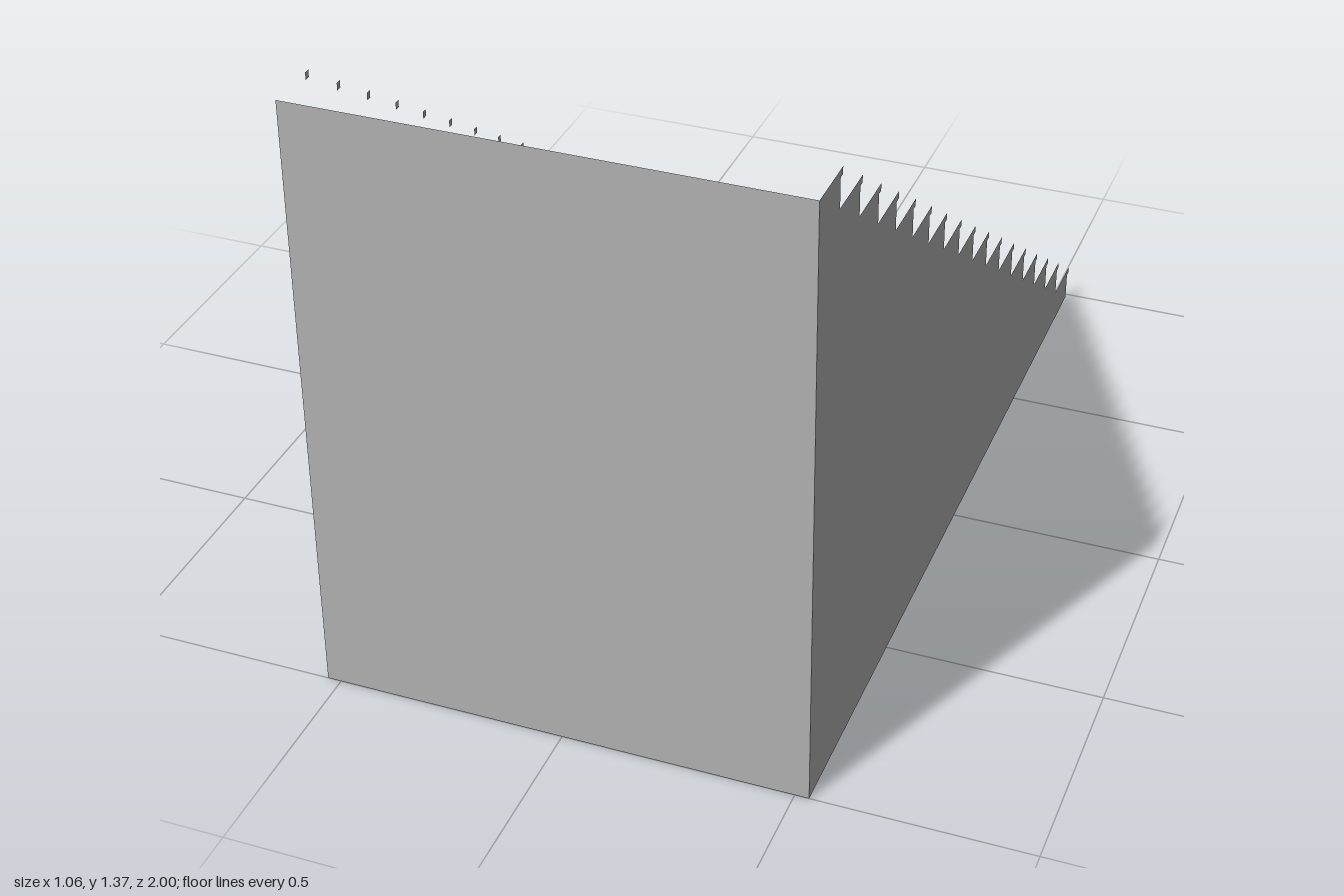
import * as THREE from 'three';

const STEPS = 17;
const HALF_WIDTH = 0.53;
const HEIGHT = 1.365;
const RISE = HEIGHT / STEPS;
const BACK = 1;            // z of the tall end wall
const FIRST = -0.987;      // z of the lowest riser
const RUN = 0.1169;
const LIP = 0.013;         // nosing overhang
const LIP_HEIGHT = 0.016;

export function createModel() {
  const model = new THREE.Group();
  model.name = 'staircase';
  const grey = new THREE.MeshStandardMaterial({ color: 0xb2b2b2, side: THREE.DoubleSide });
  grey.name = 'grey';

  const add = (name, geometry, x, y, z) => {
    const mesh = new THREE.Mesh(geometry, grey);
    mesh.name = name;
    mesh.position.set(x, y, z);
    model.add(mesh);
    return mesh;
  };

  // Stepped side panel, drawn with shape x = -z and turned to face +x
  const profile = new THREE.Shape();
  profile.moveTo(-BACK, 0);
  profile.lineTo(-FIRST, 0);
  for (let i = 0; i < STEPS; i++) {
    const u = -(FIRST + i * RUN);
    const top = (i + 1) * RISE;
    profile.lineTo(u, top - LIP_HEIGHT);
    profile.lineTo(u + LIP, top - LIP_HEIGHT);
    profile.lineTo(u + LIP, top);
    profile.lineTo(i < STEPS - 1 ? u - RUN : -BACK, top);
  }
  profile.closePath();
  add('sidePanel', new THREE.ShapeGeometry(profile).rotateY(Math.PI / 2), HALF_WIDTH, 0, 0);

  // Tall end wall
  add('endWall', new THREE.PlaneGeometry(2 * HALF_WIDTH, HEIGHT), 0, HEIGHT / 2, BACK);

  // Base, facing down
  const depth = BACK - FIRST;
  add('base', new THREE.PlaneGeometry(2 * HALF_WIDTH, depth).rotateX(Math.PI / 2),
    0, 0, (BACK + FIRST) / 2);

  // Small nosing ends along the open side
  const end = new THREE.PlaneGeometry(LIP, LIP_HEIGHT).rotateY(-Math.PI / 2);
  for (let i = 0; i < STEPS; i++) {
    add('nosingEnd', end, -HALF_WIDTH, (i + 1) * RISE - LIP_HEIGHT / 2, FIRST + i * RUN - LIP / 2);
  }

  return model;
}
